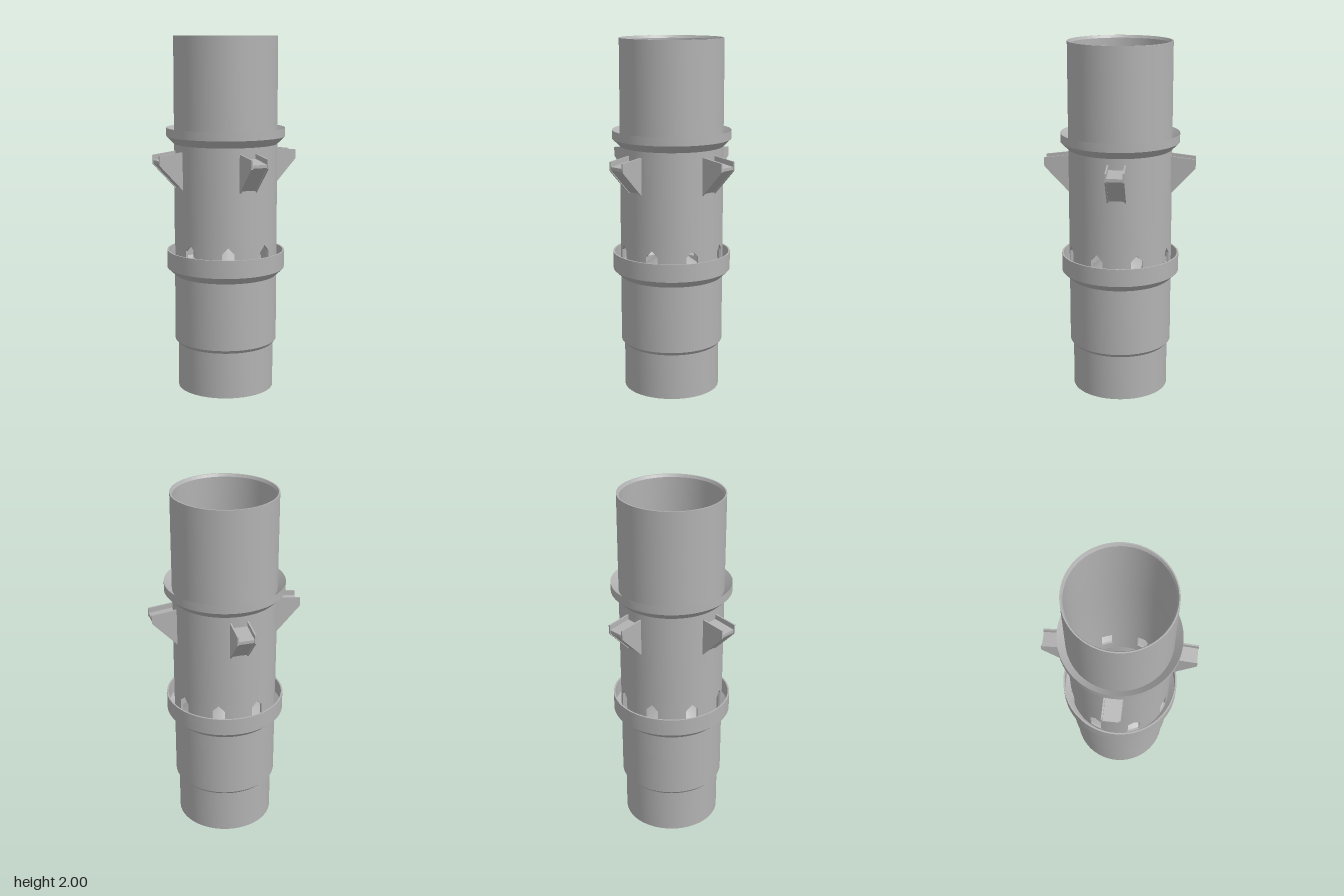
import * as THREE from 'three';
import { toCreasedNormals } from 'three/addons/utils/BufferGeometryUtils.js';

const R = 0.29, RI = 0.278;          // main tube outer and inner radius
const SILL = 0.7, HEAD = 0.87;       // band of the tube that holds the openings
const HALF = 0.12;                   // half opening width, radians

export function createModel() {
  const model = new THREE.Group();
  model.name = 'tubeTower';
  const plastic = new THREE.MeshStandardMaterial({ color: 0xb2b2b2 });
  plastic.name = 'greyPlastic';

  const add = (name, geometry, parent = model) => {
    const mesh = new THREE.Mesh(geometry, plastic);
    mesh.name = name;
    parent.add(mesh);
    return mesh;
  };

  // Closed counter-clockwise profile turned round the y axis
  const turned = (name, pts) => {
    const profile = [...pts, pts[0]].map(([x, y]) => new THREE.Vector2(x, y));
    add(name, toCreasedNormals(new THREE.LatheGeometry(profile, 96), 0.45));
  };

  // Narrow spigot, shoulder and lower tube
  turned('lowerTube', [
    [0.262, 0], [0.272, 0], [0.272, 0.26], [R, 0.28], [R, SILL],
    [RI, SILL], [RI, 0.285], [0.262, 0.265],
  ]);
  // Upper tube with a slightly bevelled mouth
  turned('upperTube', [
    [RI, HEAD], [R, HEAD], [R, 2], [0.283, 2], [0.275, 1.985], [0.275, 1.5], [RI, 1.45],
  ]);
  // Open tray around the openings
  turned('tray', [
    [0.285, 0.655], [0.333, 0.7], [0.333, 0.8], [0.324, 0.8], [0.324, 0.71], [0.285, 0.675],
  ]);
  // Flared collar with a funnel-shaped upper face
  turned('collar', [
    [0.285, 1.4], [0.333, 1.447], [0.333, 1.495], [0.285, 1.447],
  ]);
  // Spreader cone inside the tube
  turned('innerCone', [[0, 0.815], [0.28, 0.605], [0.28, 0.62], [0, 0.83]]);

  // Piece of tube wall between two angles, with a given lower edge
  const wallPiece = (a0, a1, segments, bottom) => {
    const g = new THREE.BoxGeometry(1, 1, 1, segments, 1, 1);
    const p = g.attributes.position, old = g.attributes.normal.clone();
    const angles = [];
    for (let i = 0; i < p.count; i++) {
      const a = a0 + (p.getX(i) + 0.5) * (a1 - a0);
      const r = p.getZ(i) > 0 ? R : RI;
      angles.push(a);
      p.setXYZ(i, Math.sin(a) * r, p.getY(i) > 0 ? HEAD : bottom(a), Math.cos(a) * r);
    }
    g.computeVertexNormals();
    // Radial normals keep the curved faces smooth across pieces
    for (let i = 0; i < p.count; i++) {
      const s = Math.round(old.getZ(i));
      if (s) g.attributes.normal.setXYZ(i, s * Math.sin(angles[i]), 0, s * Math.cos(angles[i]));
    }
    return g;
  };

  // Eight gabled openings separated by pillars
  const openings = new THREE.Group();
  openings.name = 'openingBand';
  model.add(openings);
  const step = Math.PI / 4;
  for (let i = 0; i < 8; i++) {
    const c = (i + 0.5) * step;
    const gable = a => 0.86 - 0.035 * Math.abs(a - c) / HALF;
    add('openingHead', wallPiece(c - HALF, c + HALF, 4, gable), openings);
    add('pillar', wallPiece(c + HALF, c + step - HALF, 8, () => SILL), openings);
  }

  // Side outline in (distance from axis, height), extruded to a width
  const plate = (pts, width, offset) => {
    const shape = new THREE.Shape(pts.map(([x, y]) => new THREE.Vector2(x, y)));
    const g = new THREE.ExtrudeGeometry(shape, { depth: width, bevelEnabled: false });
    return g.translate(0, 0, offset);
  };
  const cheek = [[0.28, 1.155], [0.422, 1.305], [0.422, 1.355], [0.28, 1.372]];
  const floor = [[0.28, 1.162], [0.42, 1.31], [0.42, 1.327], [0.28, 1.345]];

  // Four channel brackets
  for (let i = 0; i < 4; i++) {
    const bracket = new THREE.Group();
    bracket.name = 'bracket';
    bracket.rotation.y = i * Math.PI / 2;
    add('bracketFloor', plate(floor, 0.09, -0.045), bracket);
    for (const z of [-0.052, 0.043]) add('bracketCheek', plate(cheek, 0.009, z), bracket);
    model.add(bracket);
  }
  return model;
}
